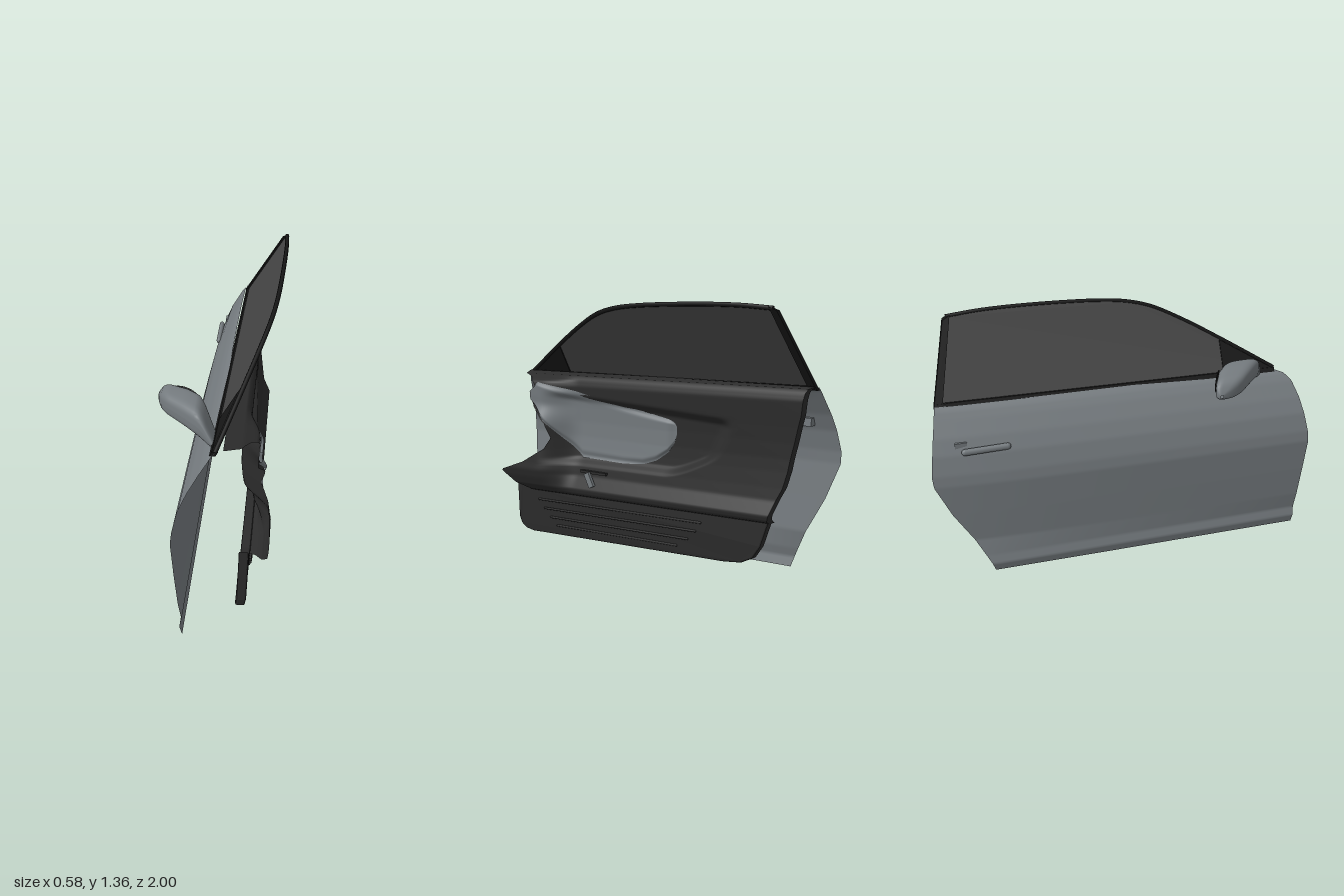
import * as THREE from 'three';

const mat = (color) => new THREE.MeshStandardMaterial({ color, side: THREE.DoubleSide, roughness: 0.7 });
const paint = mat(0x767c80), trim = mat(0x2c2c2c), black = mat(0x161616), glass = mat(0x444444);

const smooth = THREE.MathUtils.smoothstep;

// piecewise-linear lookup: rows sorted by first value, returns column k
function lookup(rows, v, k = 1) {
  if (v <= rows[0][0]) return rows[0][k];
  for (let i = 1; i < rows.length; i++) {
    const a = rows[i - 1], b = rows[i];
    if (v <= b[0]) return a[k] + (b[k] - a[k]) * (v - a[0]) / (b[0] - a[0]);
  }
  return rows[rows.length - 1][k];
}

function add(group, name, geometry, material) {
  const mesh = new THREE.Mesh(geometry, material);
  mesh.name = name;
  group.add(mesh);
  return mesh;
}

// grid surface from f(u, v) -> [x, y, z]
function surface(f, nu, nv) {
  const g = new THREE.PlaneGeometry(1, 1, nu, nv), p = g.attributes.position;
  for (let i = 0; i < p.count; i++) p.setXYZ(i, ...f(p.getX(i) + 0.5, p.getY(i) + 0.5));
  g.computeVertexNormals();
  return g;
}

// slab with a side outline of [z, y] points, whose outer face follows x = rule(z, y)
function slab(outline, rule, depth, bevel = 0) {
  const shape = new THREE.Shape(outline.map(([z, y]) => new THREE.Vector2(z, y)));
  const g = new THREE.ExtrudeGeometry(shape, {
    depth, bevelEnabled: bevel > 0, bevelSize: bevel, bevelThickness: bevel, bevelOffset: -bevel, bevelSegments: 2,
  });
  const p = g.attributes.position;
  for (let i = 0; i < p.count; i++) {
    const z = p.getX(i), y = p.getY(i);
    p.setXYZ(i, rule(z, y) - p.getZ(i), y, z);
  }
  g.computeVertexNormals();
  return g;
}

// outer skin: height, front x, rear x, front z, rear z
const SKIN = [
  [0, -0.135, -0.125, 0.97, -0.73], [0.05, -0.147, -0.137, 0.972, -0.745], [0.1, -0.135, -0.122, 0.975, -0.77],
  [0.2, -0.15, -0.088, 0.98, -0.82], [0.38, -0.163, -0.094, 0.99, -0.92], [0.56, -0.173, -0.1, 1, -0.995],
  [0.62, -0.165, -0.094, 0.995, -1], [0.72, -0.138, -0.07, 0.975, -0.985], [0.8, -0.1, -0.036, 0.955, -0.97],
  [0.88, -0.05, 0.01, 0.925, -0.952], [0.915, -0.02, 0.03, 0.89, -0.945], [0.935, 0.008, 0.045, 0.83, -0.94]];
function skinX(z, y) {
  const t = (1 - z) / 2, s = 0.57 * t + 0.43 * t ** 6;
  return lookup(SKIN, y, 1) * (1 - s) + lookup(SKIN, y, 2) * s;
}

// inner panel: height, x, front z, rear z
const PANEL = [
  [0.3, 0.15, 0.7, -0.755], [0.32, 0.19, 0.73, -0.76], [0.35, 0.2, 0.8, -0.77], [0.42, 0.165, 0.88, -0.79],
  [0.48, 0.155, 0.72, -0.82], [0.56, 0.145, 0.585, -0.84], [0.62, 0.14, 0.555, -0.85], [0.7, 0.14, 0.585, -0.87],
  [0.78, 0.145, 0.68, -0.89], [0.83, 0.15, 0.7, -0.905], [0.9, 0.155, 0.665, -0.915], [0.935, 0.145, 0.7, -0.92],
  [0.955, 0.125, 0.8, -0.93], [0.962, 0.05, 0.83, -0.935]];
function panelX(z, y) {
  // flare toward the dashboard, minus the long dished recess
  const flare = 0.1 * smooth(z, 0.4, 0.62) * smooth(y, 0.3, 0.45) * (1 - 0.5 * smooth(y, 0.68, 0.8)) * (1 - smooth(y, 0.92, 0.955));
  const top = 0.83 + 0.07 * z, bottom = 0.47 + 0.12 * smooth(-z, 0.15, 0.55);
  const dish = smooth(top - y, 0, 0.05) * smooth(y - bottom, 0, 0.05) * smooth(z + 0.55 - 0.5 * Math.max(0, 0.74 - y), 0, 0.1);
  return lookup(PANEL, y, 1) + flare - 0.035 * dish * (1 - smooth(z, 0.45, 0.62));
}

// window plane leaning inward
const windowX = (z, y) => 0.03 - 0.02 * z + 0.58 * (y - 0.94);
const ROOF = [[0.84, 0.94], [0.56, 1.105], [0.38, 1.205], [0.22, 1.28], [0.1, 1.312], [-0.05, 1.33], [-0.4, 1.345], [-0.65, 1.345], [-0.82, 1.335]];

function buildMirror() {
  const g = new THREE.Group();
  g.name = 'wingMirror';
  // stations: x, back z, front z, low y, high y
  const st = [
    [-0.287, 0.425, 0.44, 0.98, 0.995], [-0.28, 0.415, 0.475, 0.967, 1.012], [-0.262, 0.41, 0.525, 0.958, 1.04],
    [-0.235, 0.418, 0.57, 0.953, 1.06], [-0.14, 0.465, 0.66, 0.942, 1.066], [-0.08, 0.51, 0.715, 0.93, 1.063],
    [-0.055, 0.545, 0.73, 0.92, 1.04], [-0.025, 0.595, 0.75, 0.91, 0.985], [0.01, 0.66, 0.77, 0.91, 0.925]];
  const pow = (c) => Math.sign(c) * Math.abs(c) ** 0.6;
  add(g, 'mirrorHousing', surface((u, v) => {
    const x = st[0][0] + (st[8][0] - st[0][0]) * (u * u * (3 - 2 * u));
    const [b, f, l, h] = [1, 2, 3, 4].map((k) => lookup(st, x, k));
    const a = v * Math.PI * 2;
    return [x, (l + h) / 2 + pow(Math.sin(a)) * (h - l) / 2, (b + f) / 2 + pow(Math.cos(a)) * (f - b) / 2];
  }, 28, 32), paint);
  const face = add(g, 'mirrorGlass', new THREE.SphereGeometry(1, 24, 12), black);
  face.scale.set(0.085, 0.046, 0.008);
  face.position.set(-0.158, 1.005, 0.456);
  face.rotation.y = Math.atan2(0.46, -0.89);
  return g;
}

function buildHandle() {
  const g = new THREE.Group();
  g.name = 'outerHandle';
  const cup = add(g, 'handleCup', new THREE.SphereGeometry(1, 24, 16), paint);
  cup.scale.set(0.022, 0.058, 0.1);
  cup.position.set(skinX(-0.7, 0.76) + 0.012, 0.76, -0.7);
  cup.rotation.z = -0.4;
  const bar = add(g, 'handleBar', new THREE.CapsuleGeometry(0.018, 0.21, 6, 14), paint);
  bar.rotation.x = Math.PI / 2;
  bar.scale.x = 0.8;
  bar.position.set(skinX(-0.72, 0.77) - 0.022, 0.77, -0.72);
  const lock = add(g, 'lockHousing', new THREE.BoxGeometry(0.04, 0.04, 0.06), paint);
  lock.position.set(skinX(-0.84, 0.79) + 0.005, 0.79, -0.84);
  return g;
}

export function createModel() {
  const model = new THREE.Group();
  model.name = 'carDoor';

  // painted outer skin
  add(model, 'outerSkin', surface((u, v) => {
    const y = v * 0.935, f = lookup(SKIN, y, 3), z = f + (lookup(SKIN, y, 4) - f) * u;
    return [skinX(z, y), y + 0.033 * u, z];
  }, 50, 94), paint);

  // window, quarter panel and frame
  const belt = [[-0.93, 0.965], [0.84, 0.935]];
  add(model, 'windowGlass', slab([...ROOF, ...belt.slice(0, 1), belt[1]], windowX, 0.008), glass);
  add(model, 'quarterPanel', slab([[0.84, 0.937], [0.56, 1.1], [0.56, 0.942]], (z, y) => windowX(z, y) + 0.006, 0.02), black);
  add(model, 'rearPillar', slab([[-0.8, 1.342], [-0.838, 1.325], [-0.942, 0.955], [-0.9, 0.96]],
    (z, y) => windowX(z, y) + 0.01, 0.028), black);
  add(model, 'beltSeal', slab([[0.84, 0.925], [0.84, 0.945], [-0.93, 0.977], [-0.93, 0.957]],
    (z, y) => windowX(z, y) + 0.012, 0.028), black);
  const rail = new THREE.CatmullRomCurve3(ROOF.map(([z, y]) => new THREE.Vector3(windowX(z, y), y, z)));
  add(model, 'roofSeal', new THREE.TubeGeometry(rail, 60, 0.011, 8), black);

  // upper inner panel, with a rim folded back at its rear edge
  add(model, 'upperTrim', surface((u, v) => {
    const y = 0.3 + v * 0.662, k = Math.min(1, u / 0.98), f = lookup(PANEL, y, 2);
    const z = f + (lookup(PANEL, y, 3) - f) * k;
    const fold = u > 0.995 ? Math.min(0.05, panelX(z, y) - 0.05) : 0;
    return [panelX(z, y) - fold, y - 0.015 + 0.03 * k, z];
  }, 100, 80), trim);

  // light insert following the panel surface
  const INSERT = [[-0.2, 0.69, 0.725], [-0.185, 0.64, 0.748], [-0.15, 0.59, 0.76], [-0.08, 0.54, 0.773], [0, 0.512, 0.787],
    [0.12, 0.503, 0.808], [0.4, 0.505, 0.862], [0.5, 0.6, 0.88], [0.57, 0.68, 0.893], [0.64, 0.75, 0.905], [0.69, 0.8, 0.86]];
  add(model, 'trimInsert', surface((u, v) => {
    const z = -0.2 + 0.89 * u, lo = lookup(INSERT, z, 1), y = lo + (lookup(INSERT, z, 2) - lo) * v;
    const lift = 0.014 * smooth(Math.min(v, 1 - v), 0, 0.12) * smooth(u, 0, 0.06);
    return [panelX(z, y) + 0.002 + lift, y, z];
  }, 70, 36), paint);

  // lower inner panel with slats
  const lowX = (z, y) => 0.148 + 0.02 * smooth(y, 0.04, 0.2);
  add(model, 'lowerTrim', slab([[0.845, 0.41], [0.845, 0.12], [0.835, 0.08], [0.805, 0.055], [0.75, 0.045], [-0.5, 0.088],
    [-0.6, 0.1], [-0.67, 0.135], [-0.715, 0.2], [-0.76, 0.335], [0.68, 0.305], [0.75, 0.325], [0.8, 0.36]],
  (z, y) => lowX(z, y) - 0.008, 0.03, 0.008), trim);
  [[0.68, -0.38, 0.245], [0.64, -0.35, 0.198], [0.6, -0.3, 0.15], [0.56, -0.23, 0.105]].forEach(([a, b, y]) => {
    const slat = add(model, 'slat', new THREE.CapsuleGeometry(0.006, a - b, 4, 8), trim);
    slat.position.set(lowX(0, y) + 0.001, y + 0.012, (a + b) / 2);
    slat.rotation.x = Math.PI / 2 + 0.025;
  });

  // inner release lever
  const base = add(model, 'leverBase', new THREE.BoxGeometry(0.02, 0.014, 0.17), trim);
  base.position.set(panelX(0.29, 0.44) + 0.006, 0.44, 0.29);
  const lever = add(model, 'lever', new THREE.BoxGeometry(0.018, 0.08, 0.032), paint);
  lever.position.set(0.2, 0.405, 0.295);
  lever.rotation.x = 0.45;

  model.add(buildMirror(), buildHandle());
  return model;
}
